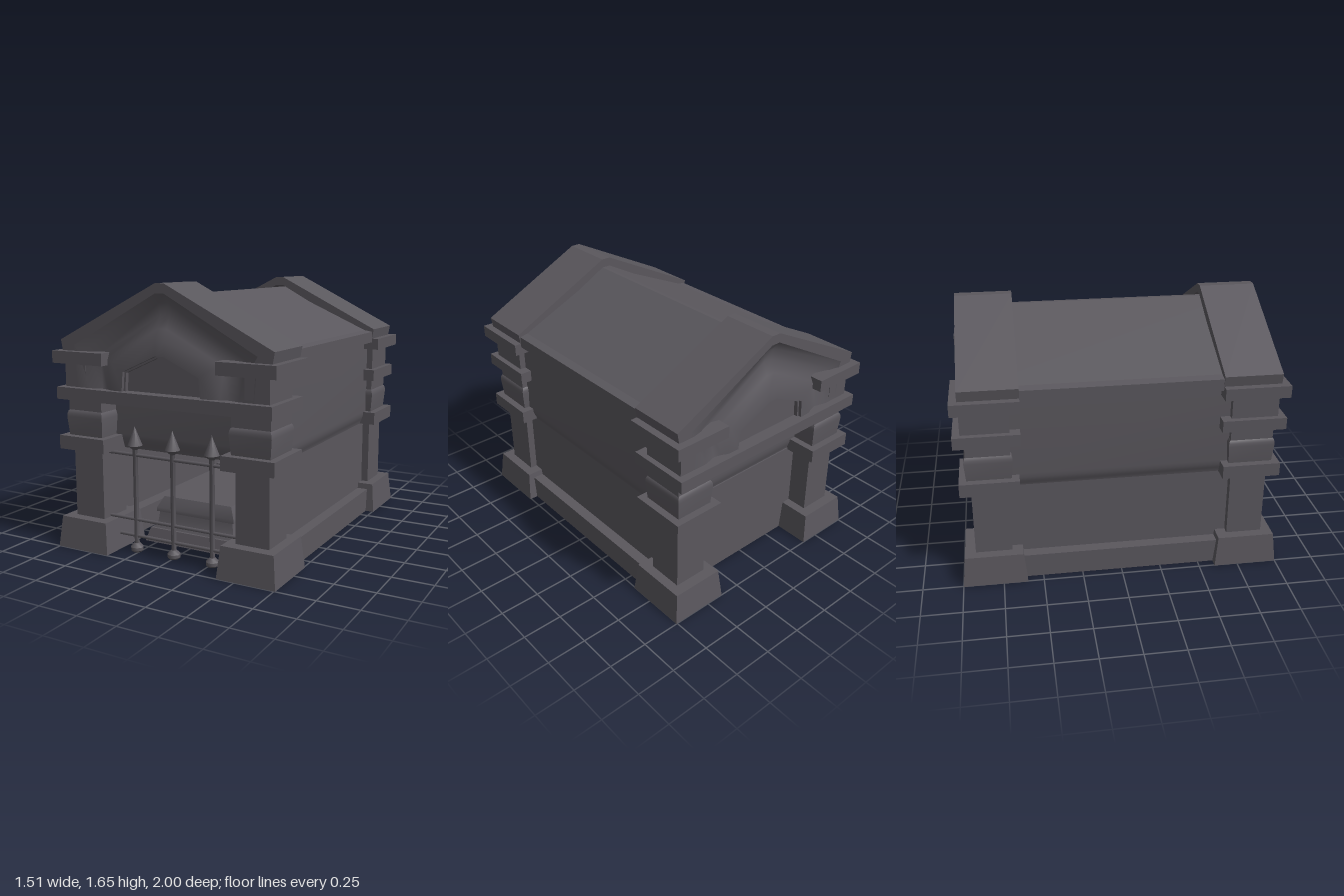
import * as THREE from 'three';
import { toCreasedNormals } from 'three/addons/utils/BufferGeometryUtils.js';

// Double-sided because the tomb and pillar bases are open underneath
const stone = new THREE.MeshStandardMaterial({ color: 0x5a575d, side: THREE.DoubleSide });
stone.name = 'dark stone';

function add(parent, name, geometry, x = 0, y = 0, z = 0) {
  const mesh = new THREE.Mesh(geometry, stone);
  mesh.name = name;
  mesh.position.set(x, y, z);
  parent.add(mesh);
  return mesh;
}

function fromQuads(quads, crease = 0.6) {
  const pos = [];
  for (const [a, b, c, d] of quads) pos.push(...a, ...b, ...c, ...a, ...c, ...d);
  const g = new THREE.BufferGeometry();
  g.setAttribute('position', new THREE.Float32BufferAttribute(pos, 3));
  g.computeVertexNormals();
  return toCreasedNormals(g, crease);
}

// Rectangular rings [y, halfX, halfZ] stacked upwards, with or without a bottom
function stack(rows, openBottom = false) {
  const rings = rows.map(([y, x, z]) => [[x, y, z], [x, y, -z], [-x, y, -z], [-x, y, z]]);
  const quads = [rings[rings.length - 1]];
  if (!openBottom) quads.push([...rings[0]].reverse());
  for (let r = 0; r + 1 < rings.length; r++) {
    for (let i = 0; i < 4; i++) {
      const j = (i + 1) % 4;
      quads.push([rings[r][i], rings[r][j], rings[r + 1][j], rings[r + 1][i]]);
    }
  }
  return fromQuads(quads);
}

// Box given by its limits
function block(x0, x1, y0, y1, z0, z1) {
  return new THREE.BoxGeometry(x1 - x0, y1 - y0, z1 - z0)
    .translate((x0 + x1) / 2, (y0 + y1) / 2, (z0 + z1) / 2);
}

// Outline in x and y pulled along z
function prism(points, z0, z1) {
  const shape = new THREE.Shape(points.map(([x, y]) => new THREE.Vector2(x, y)));
  return new THREE.ExtrudeGeometry(shape, { depth: z1 - z0, bevelEnabled: false }).translate(0, 0, z0);
}

// Right half of an outline completed by its mirror image
const mirrored = (half) => [...half, ...half.map(([x, ...rest]) => [-x, ...rest]).reverse()];

function createPillar() {
  const pillar = new THREE.Group();
  pillar.name = 'cornerPillar';
  add(pillar, 'pillarBase', stack([[0, 0.187, 0.2], [0.195, 0.167, 0.18]], true));
  add(pillar, 'pillarShaft', stack([[0.19, 0.107, 0.113], [0.635, 0.107, 0.113]]));
  add(pillar, 'pillarCap', stack([[0.63, 0.167, 0.18], [0.715, 0.167, 0.18]]));
  add(pillar, 'pillarCushion', stack([
    [0.71, 0.122, 0.135], [0.83, 0.133, 0.144], [0.85, 0.131, 0.143],
    [0.866, 0.125, 0.138], [0.876, 0.115, 0.128],
  ]));
  add(pillar, 'pillarNeck', stack([[0.87, 0.122, 0.132], [0.95, 0.122, 0.132]]));
  add(pillar, 'upperSlab', block(-0.185, 0.185, 1.165, 1.24, -0.2, 0.2));
  return pillar;
}

function createGableEnd() {
  const end = new THREE.Group();
  end.name = 'gableEnd';
  for (const side of [-1, 1]) {
    const pillar = createPillar();
    pillar.position.set(side * 0.57, 0, 0.8);
    end.add(pillar);
    add(end, 'upperBlock', block(-0.0775, 0.0775, 1.02, 1.17, 0.665, 0.952), side * 0.6175);
  }
  add(end, 'crossBeam', block(-0.73, 0.73, 0.945, 1.02, 0.603, 0.998));

  // Raised roof band with an open underside
  const outer = mirrored([[0.71, 1.24], [0.722, 1.305], [0.03, 1.652]]);
  const inner = mirrored([[0.6, 1.24], [0.62, 1.275], [0.03, 1.595]]);
  add(end, 'gableRoof', prism([...outer, ...inner.reverse()], 0.6, 0.953));

  // Pediment curving in below the roof band, then out to the framed panel
  const arches = [
    [[0.6, 1.02, 0.953], [0.62, 1.275, 0.953], [0.03, 1.595, 0.953]],
    [[0.51, 1.02, 0.953], [0.54, 1.25, 0.938], [0.03, 1.54, 0.91]],
    [[0.43, 1.02, 0.933], [0.46, 1.225, 0.905], [0.03, 1.47, 0.9]],
    [[0.385, 1.02, 0.943], [0.4, 1.205, 0.93], [0.03, 1.395, 0.93]],
    [[0.345, 1.02, 0.962], [0.335, 1.185, 0.962], [0.03, 1.325, 0.962]],
    [[0.268, 1.02, 0.965], [0.258, 1.137, 0.965], [0.03, 1.24, 0.965]],
    [[0.268, 1.02, 0.94], [0.258, 1.137, 0.94], [0.03, 1.24, 0.94]],
  ].map(mirrored);
  const quads = [];
  for (let r = 0; r + 1 < arches.length; r++) {
    for (let i = 0; i < 5; i++) {
      quads.push([arches[r][i], arches[r][i + 1], arches[r + 1][i + 1], arches[r + 1][i]]);
    }
  }
  add(end, 'pediment', fromQuads(quads, 1));

  // Stepped frame and panel set into the pediment
  const frameOuter = mirrored([[0.268, 1.02], [0.258, 1.137], [0.03, 1.24]]);
  const frameInner = mirrored([[0.256, 1.02], [0.246, 1.13], [0.028, 1.228]]);
  add(end, 'panelFrame', prism([...frameOuter, ...frameInner.reverse()], 0.91, 0.945));
  add(end, 'recessedPanel', prism(mirrored([[0.262, 1.02], [0.252, 1.133], [0.03, 1.234]]), 0.89, 0.92));
  return end;
}

function createFence() {
  const fence = new THREE.Group();
  fence.name = 'fence';
  const profile = [[0, 0], [0.03, 0], [0.04, 0.01], [0.04, 0.03], [0.022, 0.05], [0.016, 0.055],
    [0.016, 0.645], [0.02, 0.65], [0.047, 0.672], [0, 0.79]];
  const bar = toCreasedNormals(
    new THREE.LatheGeometry(profile.map(([x, y]) => new THREE.Vector2(x, y)), 10), 0.7);
  for (const x of [-0.27, 0, 0.27]) add(fence, 'spearBar', bar, x);
  for (const [y, half] of [[0.1, 0.39], [0.205, 0.47], [0.612, 0.47]]) {
    add(fence, 'rail', new THREE.CylinderGeometry(0.011, 0.011, half * 2, 8), 0, y).rotation.z = Math.PI / 2;
  }
  fence.position.z = 0.842;
  return fence;
}

export function createModel() {
  const model = new THREE.Group();
  model.name = 'mausoleum';

  // Side plinths and lower walls around the open chamber
  for (const side of [-1, 1]) {
    const group = new THREE.Group();
    group.name = 'chamberSide';
    add(group, 'sidePlinth', block(-0.12, 0.12, 0, 0.157, -0.77, 0.77), side * 0.58);
    add(group, 'sideWall', block(-0.04, 0.04, 0.15, 0.64, -0.77, 0.77), side * 0.59);
    model.add(group);
  }
  add(model, 'backFloor', block(-0.47, 0.47, 0, 0.01, -0.77, -0.5));
  add(model, 'backWall', block(-0.55, 0.55, 0, 0.64, -0.775, -0.72));

  // Upper wall swelling out above the lower one
  add(model, 'upperWall', stack([
    [0.63, 0.63, 0.765], [0.645, 0.634, 0.768], [0.665, 0.644, 0.776],
    [0.69, 0.652, 0.784], [0.72, 0.655, 0.788], [1.23, 0.655, 0.788],
  ]));

  // Main roof between the gable ends
  add(model, 'mainRoof', prism(mirrored([[0.71, 1.215], [0.71, 1.287], [0.655, 1.297], [0.012, 1.583]]), -0.87, 0.87));

  const front = createGableEnd();
  const back = createGableEnd();
  back.rotation.y = Math.PI;
  model.add(front, back);

  // Hollow tomb near the entrance of the chamber
  add(model, 'tomb', stack([
    [0, 0.335, 0.51], [0.085, 0.31, 0.485], [0.085, 0.295, 0.47], [0.12, 0.275, 0.45],
    [0.19, 0.265, 0.44], [0.19, 0.28, 0.455], [0.215, 0.28, 0.455], [0.285, 0.245, 0.42],
  ], true), 0, 0, 0.15);

  model.add(createFence());
  return model;
}
